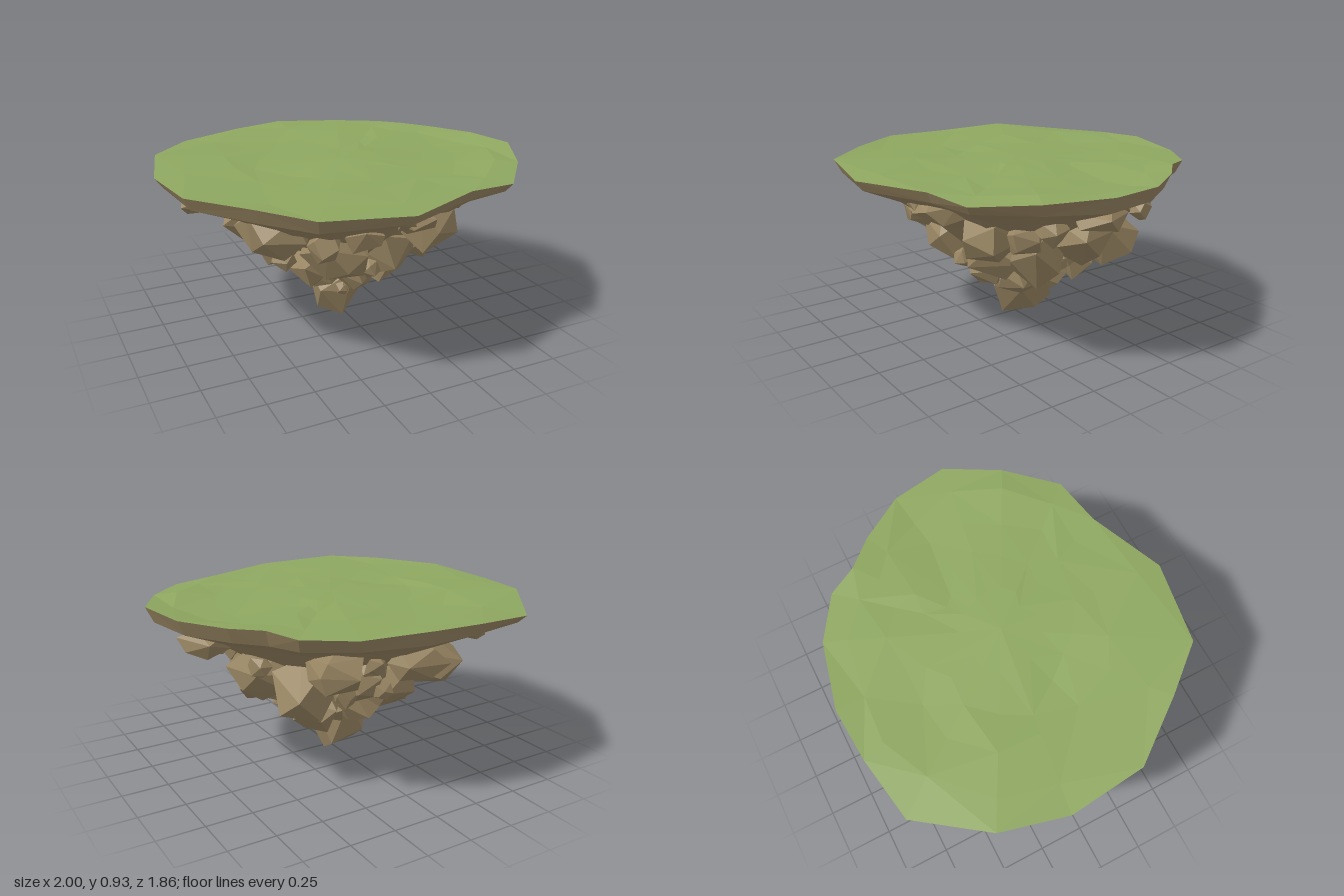
import * as THREE from 'three';
import { ConvexGeometry } from 'three/addons/geometries/ConvexGeometry.js';

// Island outline seen from above: x, z, rim height
const OUTLINE = [
  [1, 0.155, 0.93], [0.85, 0.45, 0.91], [0.63, 0.705, 0.89], [0.35, 0.75, 0.905], [-0.06, 0.925, 0.9],
  [-0.515, 0.845, 0.918], [-0.72, 0.6, 0.925], [-0.96, 0.28, 0.915], [-1, -0.14, 0.9], [-0.91, -0.5, 0.92],
  [-0.65, -0.85, 0.885], [-0.3, -0.91, 0.91], [-0.01, -0.93, 0.925], [0.36, -0.845, 0.912],
  [0.59, -0.695, 0.915], [0.67, -0.535, 0.93], [0.8, -0.395, 0.925], [0.95, -0.155, 0.925],
];

// Boulders: x, y, z, half width, half height
const FRONT = [
  [-0.47, 0.65, 0.2, 0.19, 0.14], [-0.13, 0.67, 0.53, 0.11, 0.08], [-0.16, 0.51, 0.29, 0.19, 0.16],
  [0.32, 0.61, 0.38, 0.16, 0.14], [0.14, 0.74, 0.56, 0.14, 0.07], [0.15, 0.46, 0.22, 0.18, 0.16],
  [-0.4, 0.44, 0.12, 0.07, 0.06], [-0.24, 0.38, 0.12, 0.14, 0.13], [0, 0.4, 0.35, 0.055, 0.055],
  [0, 0.32, 0.17, 0.12, 0.1], [-0.45, 0.76, 0.38, 0.11, 0.05], [-0.28, 0.6, 0.4, 0.09, 0.1],
  [-0.07, 0.22, 0.16, 0.045, 0.04], [0.05, 0.76, 0.64, 0.06, 0.05],
];
const RIGHT = [
  [0.46, 0.57, -0.1, 0.18, 0.15], [0.38, 0.5, -0.34, 0.17, 0.17], [0.3, 0.67, -0.55, 0.17, 0.1],
  [0.4, 0.49, 0.15, 0.15, 0.16], [0.73, 0.745, 0.02, 0.14, 0.08], [0.6, 0.68, 0.2, 0.09, 0.08],
  [0.62, 0.7, -0.37, 0.06, 0.055], [0.24, 0.37, -0.26, 0.14, 0.13],
  [0.18, 0.3, 0.1, 0.12, 0.11], [0.21, 0.28, -0.1, 0.08, 0.08], [0.38, 0.41, 0, 0.07, 0.06],
  [0.32, 0.4, -0.12, 0.06, 0.06], [0.47, 0.62, 0.27, 0.1, 0.1],
];
const BACK = [
  [-0.1, 0.69, -0.66, 0.15, 0.1], [-0.35, 0.6, -0.48, 0.15, 0.14], [0.12, 0.55, -0.44, 0.14, 0.12],
  [-0.12, 0.48, -0.36, 0.16, 0.14], [-0.6, 0.73, -0.48, 0.08, 0.06], [0.1, 0.68, -0.6, 0.05, 0.05],
  [-0.02, 0.36, -0.25, 0.14, 0.12], [-0.26, 0.42, -0.22, 0.13, 0.12], [0.22, 0.52, -0.5, 0.07, 0.07],
  [0.02, 0.51, -0.54, 0.06, 0.05], [0.05, 0.62, -0.48, 0.09, 0.1],
];
const LEFT = [
  [-0.75, 0.75, -0.14, 0.13, 0.075], [-0.48, 0.6, 0.04, 0.15, 0.13], [-0.48, 0.62, -0.22, 0.16, 0.14],
  [-0.34, 0.48, -0.04, 0.16, 0.14],
];
const LOWER = [
  [-0.02, 0.31, -0.05, 0.18, 0.14], [-0.13, 0.28, 0.02, 0.1, 0.09], [0.1, 0.31, -0.15, 0.12, 0.1],
  [0.08, 0.33, 0.08, 0.12, 0.11], [-0.12, 0.31, -0.14, 0.11, 0.1],
];

let seed = 7;
function rand() {
  seed = (seed * 16807) % 2147483647;
  return seed / 2147483647;
}
const jitter = (amount) => (rand() * 2 - 1) * amount;

// Low rolling bumps of the meadow
const meadow = (x, z) => 0.91 + 0.007 * Math.sin(6 * x + 3 * z + 1) + 0.006 * Math.cos(7 * z - 4 * x);
const level = (y) => () => y;
const rimHeight = (x, z, rim) => rim;

// One ring of the outline, scaled in plan, with a rule for its height
function ring(scale, height, wobble = 0, lift = 0) {
  return OUTLINE.map(([ox, oz, rim]) => {
    const s = scale + jitter(wobble);
    return new THREE.Vector3(ox * s, height(ox * s, oz * s, rim) + jitter(lift), oz * s);
  });
}

// Faceted surface through a list of rings
function loft(rings) {
  const pos = [];
  const add = (...pts) => {
    const area = pts[1].clone().sub(pts[0]).cross(pts[2].clone().sub(pts[0])).length();
    if (area > 1e-6) pts.forEach((p) => pos.push(p.x, p.y, p.z));
  };
  for (let r = 0; r < rings.length - 1; r++) {
    const n = rings[r].length;
    for (let i = 0; i < n; i++) {
      const j = (i + 1) % n;
      const a = rings[r][i], b = rings[r][j], c = rings[r + 1][i], d = rings[r + 1][j];
      if ((i + r) % 2) { add(a, b, c); add(b, d, c); } else { add(a, b, d); add(a, d, c); }
    }
  }
  const geo = new THREE.BufferGeometry();
  geo.setAttribute('position', new THREE.Float32BufferAttribute(pos, 3));
  geo.computeVertexNormals();
  return geo;
}

// Irregular convex boulder from points spread evenly over an ellipsoid
function boulder(w, h) {
  const n = 12;
  const tilt = new THREE.Euler(jitter(0.4), rand() * 6.28, jitter(0.4));
  const pts = [];
  for (let i = 0; i < n; i++) {
    const y = 1 - (2 * (i + 0.5)) / n;
    const rad = Math.sqrt(1 - y * y), a = i * 2.4 + jitter(0.35);
    const p = new THREE.Vector3(Math.cos(a) * rad, y, Math.sin(a) * rad).applyEuler(tilt);
    pts.push(p.multiplyScalar(1.06 + jitter(0.13)).multiply(new THREE.Vector3(w, h, w)));
  }
  return new ConvexGeometry(pts);
}

export function createModel() {
  seed = 7;
  const model = new THREE.Group();
  model.name = 'floatingIsland';
  const grass = new THREE.MeshStandardMaterial({ color: 0x8ea760 });
  grass.name = 'grass';
  const rock = new THREE.MeshStandardMaterial({ color: 0x988562 });
  rock.name = 'rock';

  const put = (name, geo, mat, parent = model) => {
    const mesh = new THREE.Mesh(geo, mat);
    mesh.name = name;
    parent.add(mesh);
    return mesh;
  };

  // Gently uneven grass top
  put('grassTop', loft([
    ring(0, meadow), ring(0.22, meadow, 0.03, 0.002), ring(0.42, meadow, 0.06, 0.007),
    ring(0.62, meadow, 0.06, 0.008), ring(0.82, meadow, 0.05, 0.007), ring(1, rimHeight),
  ]), grass);

  // Earth rim and tapering underside
  put('earthBase', loft([
    ring(1, rimHeight), ring(0.96, level(0.845)), ring(0.74, level(0.758), 0.03, 0.012),
    ring(0.49, level(0.61), 0.03, 0.02), ring(0.25, level(0.38), 0.03, 0.02), ring(0, level(0.2)),
  ]), rock);

  // Boulders clustered around the underside
  const sides = { frontBoulders: FRONT, rightBoulders: RIGHT, backBoulders: BACK, leftBoulders: LEFT, lowerBoulders: LOWER };
  for (const [name, list] of Object.entries(sides)) {
    const group = new THREE.Group();
    group.name = name;
    model.add(group);
    for (const [x, y, z, w, h] of list) put('boulder', boulder(w, h), rock, group).position.set(x, y, z);
  }

  // Pointed boulder at the very bottom
  const tip = [
    [-0.03, 0, 0.07], [0.09, 0.03, -0.08], [-0.14, 0.03, -0.03], [0.1, 0.09, -0.18], [0.12, 0.17, 0.04],
    [-0.16, 0.17, 0.06], [-0.02, 0.17, 0.13], [-0.1, 0.14, -0.19], [0.15, 0.27, -0.1], [-0.17, 0.26, -0.1],
    [0.03, 0.3, 0.13], [0, 0.33, -0.2],
  ];
  put('tipBoulder', new ConvexGeometry(tip.map((p) => new THREE.Vector3(...p))), rock);

  return model;
}
